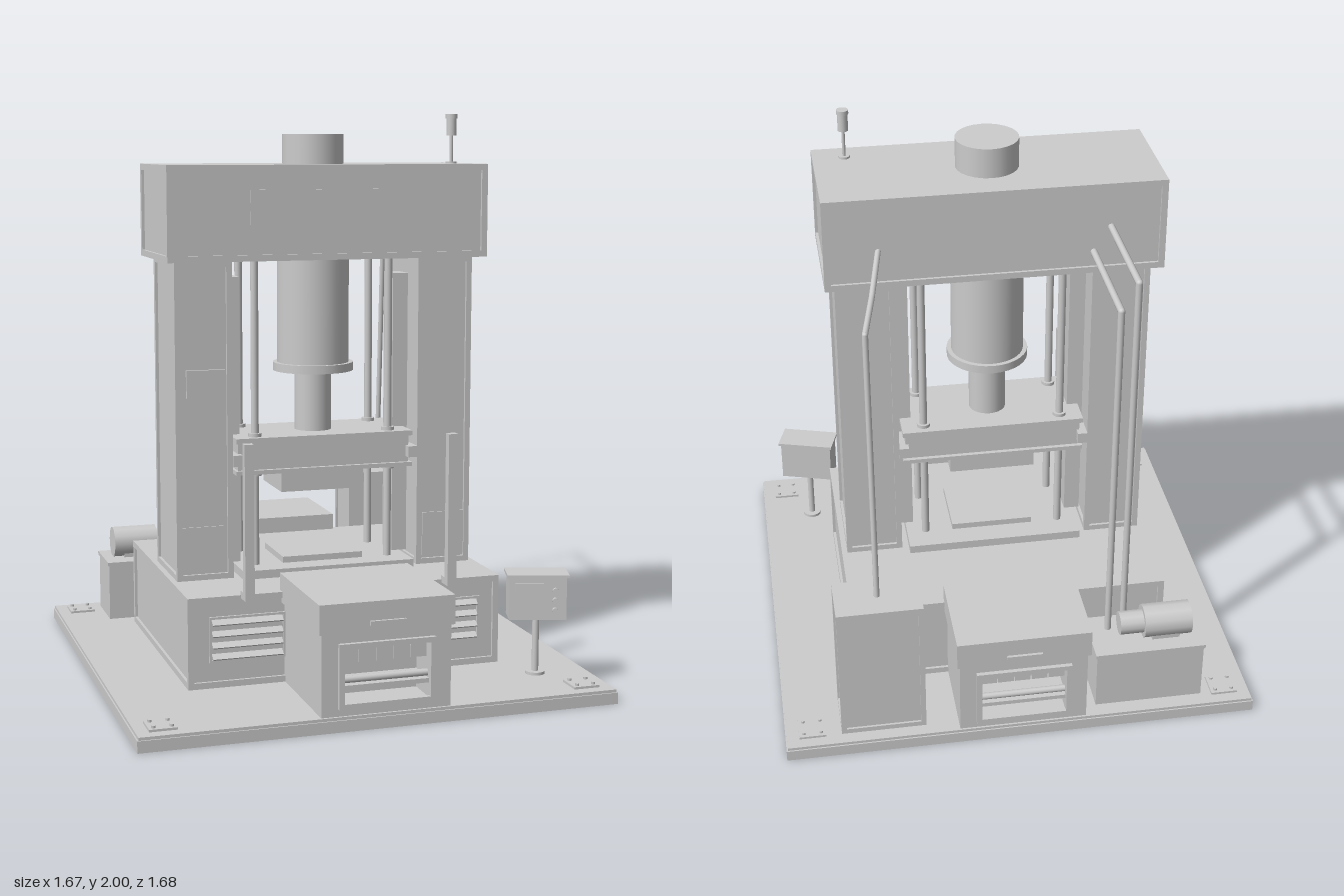
import * as THREE from 'three';

const paint = new THREE.MeshStandardMaterial({ color: 0xcccccc });
paint.name = 'machineGrey';

export function createModel() {
  const root = new THREE.Group();
  root.name = 'hydraulicPress';

  const add = (name, geo, parent = root) => {
    const m = new THREE.Mesh(geo, paint);
    m.name = name;
    parent.add(m);
    return m;
  };
  // box given by its limits on each axis
  const box = (name, x0, x1, y0, y1, z0, z1, parent = root) => {
    const m = add(name, new THREE.BoxGeometry(x1 - x0, y1 - y0, z1 - z0), parent);
    m.position.set((x0 + x1) / 2, (y0 + y1) / 2, (z0 + z1) / 2);
    return m;
  };
  // upright cylinder from y0 to y1
  const cyl = (name, r, x, y0, y1, z, parent = root, sides = 24) => {
    const m = add(name, new THREE.CylinderGeometry(r, r, y1 - y0, sides), parent);
    m.position.set(x, (y0 + y1) / 2, z);
    return m;
  };
  // straight round bar between two points
  const rod = (name, r, a, b, parent = root) => {
    const p = new THREE.Vector3(...a), q = new THREE.Vector3(...b), d = q.clone().sub(p);
    const m = add(name, new THREE.CylinderGeometry(r, r, d.length(), 12), parent);
    m.position.copy(p).add(q).multiplyScalar(0.5);
    m.quaternion.setFromUnitVectors(new THREE.Vector3(0, 1, 0), d.normalize());
    return m;
  };
  const rect = (T, x0, x1, y0, y1) => {
    const s = new T();
    s.moveTo(x0, y0); s.lineTo(x1, y0); s.lineTo(x1, y1); s.lineTo(x0, y1); s.closePath();
    return s;
  };
  // flat rim with an opening, extruded along z
  const rim = (w, h, t, depth) => {
    const s = rect(THREE.Shape, -w / 2, w / 2, -h / 2, h / 2);
    s.holes.push(rect(THREE.Path, -w / 2 + t, w / 2 - t, -h / 2 + t, h / 2 - t));
    return new THREE.ExtrudeGeometry(s, { depth, bevelEnabled: false });
  };
  // block whose four sides are recessed panels
  const panelBox = (name, x0, x1, y0, y1, z0, z1, t = 0.02, d = 0.01) => {
    const g = new THREE.Group();
    g.name = name;
    root.add(g);
    box(name + 'Core', x0 + d, x1 - d, y0, y1, z0 + d, z1 - d, g);
    const cx = (x0 + x1) / 2, cy = (y0 + y1) / 2, cz = (z0 + z1) / 2;
    for (let i = 0; i < 4; i++) {
      const onX = i % 2 === 1;
      const w = onX ? z1 - z0 : x1 - x0, reach = (onX ? x1 - x0 : z1 - z0) / 2 - d;
      const f = add(name + 'Rim', rim(w, y1 - y0, t, d), g);
      f.rotation.y = i * Math.PI / 2;
      f.position.set(cx + Math.round(Math.sin(f.rotation.y)) * reach, cy, cz + Math.round(Math.cos(f.rotation.y)) * reach);
    }
    return g;
  };
  // stack of tilted vent slats facing +z
  const louvres = (name, x0, x1, y0, y1, z, n) => {
    const f = add(name + 'Frame', rim(x1 - x0, y1 - y0, 0.008, 0.008));
    f.position.set((x0 + x1) / 2, (y0 + y1) / 2, z);
    for (let i = 0; i < n; i++) {
      const s = add(name + 'Slat', new THREE.BoxGeometry(x1 - x0 - 0.02, 0.005, 0.026));
      s.position.set((x0 + x1) / 2, y0 + (y1 - y0) * (i + 0.5) / n, z + 0.008);
      s.rotation.x = 0.6;
    }
  };

  // floor plate and corner anchor pads
  box('floorPlate', -0.835, 0.835, 0, 0.04, -0.835, 0.83);
  box('floorPlateTop', -0.83, 0.83, 0.04, 0.05, -0.83, 0.825);
  for (const x of [-0.74, 0.74]) for (const z of [-0.743, 0.738]) {
    box('anchorPad', x - 0.047, x + 0.047, 0.05, 0.058, z - 0.047, z + 0.047);
    for (const i of [-1, 1]) for (const j of [-1, 1])
      cyl('anchorBolt', 0.007, x + i * 0.03, 0.058, 0.066, z + j * 0.03, root, 6);
  }

  // pedestal, bolster and lower die
  panelBox('pedestal', -0.57, 0.57, 0.05, 0.37, -0.515, 0.405, 0.022);
  box('bolster', -0.32, 0.32, 0.37, 0.4, -0.205, 0.205);
  box('lowerDie', -0.15, 0.15, 0.4, 0.422, -0.12, 0.12);

  // columns with guide rails, guide rods, sensor posts and vents
  for (const s of [-1, 1]) {
    const span = (a, b) => (s > 0 ? [a, b] : [-b, -a]);
    panelBox('column', ...span(0.345, 0.55), 0.37, 1.495, -0.165, 0.165);
    box('columnKickPanel', ...span(0.37, 0.53), 0.4, 0.56, 0.15, 0.16);
    box('guideRail', ...span(0.29, 0.347), 0.4, 1.43, -0.05, 0.05);
    for (const z of [-0.11, 0.11]) {
      cyl('guideRod', 0.014, s * 0.25, 0.4, 1.5, z, root, 16);
      cyl('guideBush', 0.024, s * 0.25, 0.725, 0.878, z, root, 16);
    }
    box('sensorPost', ...span(0.35, 0.383), 0.36, 0.9, 0.435, 0.465);
    box('sensorBracket', ...span(0.35, 0.383), 0.36, 0.385, 0.4, 0.45);
    louvres('vent', ...span(0.225, 0.495), 0.14, 0.3, 0.4, 4);
    box('slideShoe', ...span(0.31, 0.345), 0.77, 0.81, -0.17, 0.17);
  }
  box('columnPlaque', -0.51, -0.37, 1.02, 1.117, 0.15, 0.168);

  // crown
  panelBox('crown', -0.585, 0.585, 1.495, 1.825, -0.215, 0.22, 0.022);
  box('crownPlate', -0.29, 0.29, 1.62, 1.74, 0.205, 0.216);

  // main cylinder and ram
  cyl('cylinderCap', 0.11, 0, 1.825, 1.93, 0);
  cyl('cylinderBody', 0.13, 0, 1.11, 1.5, 0, root, 32);
  cyl('cylinderFlange', 0.146, 0, 1.083, 1.113, 0, root, 32);
  cyl('ram', 0.067, 0, 0.86, 1.09, 0);

  // moving slide with upper die
  box('slide', -0.32, 0.32, 0.745, 0.86, -0.14, 0.14);
  box('slideTopPlate', -0.33, 0.33, 0.848, 0.866, -0.155, 0.155);
  box('slideBottomPlate', -0.33, 0.33, 0.735, 0.75, -0.155, 0.155);
  box('upperDie', -0.155, 0.155, 0.66, 0.735, -0.12, 0.12);

  // loading stations at front and back; local front face at z = 0
  const station = (name, len) => {
    const g = new THREE.Group();
    g.name = name;
    root.add(g);
    box('stationBody', -0.225, 0.225, 0.05, 0.33, -len, -0.13, g);
    const s = rect(THREE.Shape, -0.225, 0.225, 0.05, 0.33);
    s.holes.push(rect(THREE.Path, -0.15, 0.15, 0.085, 0.285));
    add('stationFront', new THREE.ExtrudeGeometry(s, { depth: 0.125, bevelEnabled: false }), g).position.z = -0.13;
    box('stationHood', -0.235, 0.235, 0.33, 0.43, -len, 0.005, g);
    box('hoodHandle', -0.062, 0.062, 0.35, 0.366, 0.005, 0.015, g);
    add('openingFrame', rim(0.335, 0.22, 0.018, 0.015), g).position.set(0, 0.185, -0.005);
    for (let i = -2; i <= 2; i++)
      box('curtainStrip', i * 0.06 - 0.028, i * 0.06 + 0.028, 0.22, 0.285, -0.035, -0.03, g);
    rod('roller', 0.012, [-0.15, 0.165, -0.03], [0.15, 0.165, -0.03], g);
    box('tray', -0.15, 0.15, 0.135, 0.15, -0.13, -0.01, g);
    return g;
  };
  station('frontStation', 0.45).position.z = 0.822;
  const back = station('backStation', 0.34);
  back.position.z = -0.828;
  back.rotation.y = Math.PI;

  // pump unit
  box('pumpTank', -0.655, -0.27, 0.05, 0.265, -0.775, -0.57);
  box('pumpTankLid', -0.66, -0.265, 0.262, 0.276, -0.78, -0.565);
  box('motorFoot', -0.58, -0.48, 0.27, 0.31, -0.72, -0.64);
  rod('motor', 0.06, [-0.62, 0.333, -0.68], [-0.45, 0.333, -0.68]);
  rod('pump', 0.042, [-0.45, 0.333, -0.68], [-0.365, 0.333, -0.68]);

  // pipes and cable running up to the crown
  const line = (name, r, pts) => {
    for (let i = 1; i < pts.length; i++) {
      rod(name, r, pts[i - 1], pts[i]);
      if (i < pts.length - 1) add(name + 'Elbow', new THREE.SphereGeometry(r, 12, 8)).position.set(...pts[i]);
    }
  };
  line('pressurePipe', 0.012, [[-0.395, 1.66, -0.2], [-0.395, 1.66, -0.617], [-0.395, 0.27, -0.617]]);
  line('returnPipe', 0.012, [[-0.337, 1.57, -0.2], [-0.337, 1.57, -0.632], [-0.337, 0.27, -0.632]]);
  line('cable', 0.01, [[0.4, 1.63, -0.2], [0.445, 1.575, -0.42], [0.488, 1.55, -0.62], [0.49, 0.56, -0.69]]);

  // electrical cabinet
  panelBox('cabinet', 0.34, 0.638, 0.05, 0.568, -0.785, -0.6, 0.018, 0.008);
  louvres('cabinetVent', 0.4, 0.585, 0.16, 0.3, -0.605, 4);
  box('cabinetSwitchPlate', 0.53, 0.59, 0.455, 0.52, -0.61, -0.595);
  rod('cabinetSwitch', 0.016, [0.555, 0.487, -0.6], [0.555, 0.487, -0.58]);

  // operator console on a post
  const desk = new THREE.Group();
  desk.name = 'console';
  desk.position.set(0.643, 0, 0.567);
  desk.rotation.y = -0.295;
  root.add(desk);
  cyl('consolePost', 0.012, 0, 0.05, 0.27, 0, desk, 12);
  cyl('consoleFoot', 0.035, 0, 0.05, 0.06, 0, desk, 16);
  box('consoleBox', -0.1, 0.1, 0.255, 0.408, -0.048, 0.048, desk);
  box('consoleRoof', -0.108, 0.108, 0.406, 0.416, -0.057, 0.057, desk);
  box('consoleScreen', -0.08, 0.02, 0.3, 0.385, 0.045, 0.052, desk);
  for (const y of [0.29, 0.325, 0.36]) rod('consoleButton', 0.01, [0.06, y, 0.045], [0.06, y, 0.06], desk);

  // warning beacon
  cyl('beaconBase', 0.02, 0.475, 1.825, 1.832, 0.14, root, 16);
  cyl('beaconPole', 0.006, 0.475, 1.83, 1.93, 0.14, root, 10);
  cyl('beaconLamp', 0.018, 0.475, 1.925, 1.99, 0.14, root, 16);
  cyl('beaconCap', 0.021, 0.475, 1.985, 2, 0.14, root, 16);

  return root;
}
